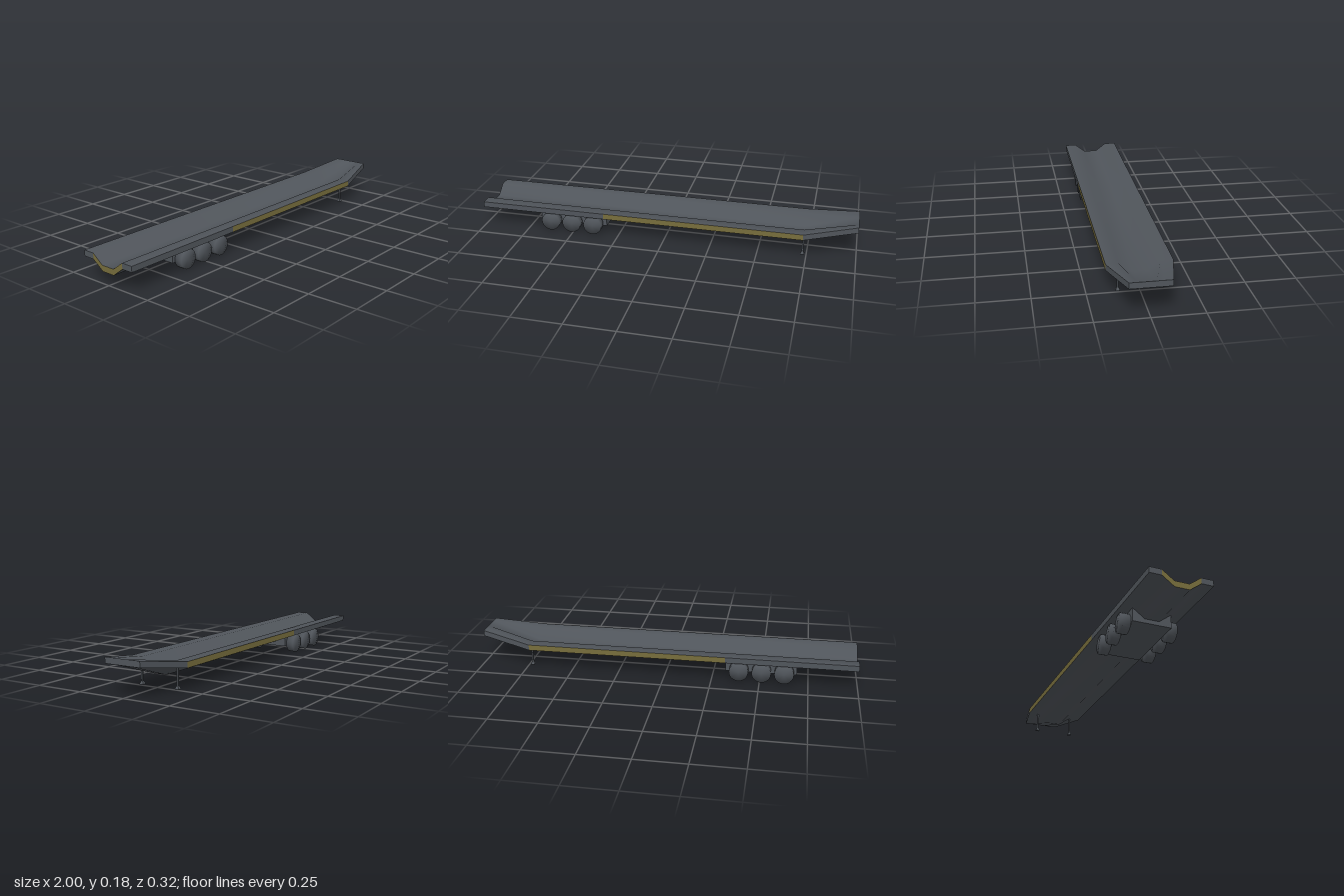
import * as THREE from 'three';
import { mergeVertices } from 'three/addons/utils/BufferGeometryUtils.js';

const steel = new THREE.MeshStandardMaterial({ color: 0x50555b });
steel.name = 'grey steel';
const olive = new THREE.MeshStandardMaterial({ color: 0x776d3c });
olive.name = 'olive marking';

// Half cross-section of the deck underside, mirrored to run from +z to -z
const half = [[0.158, 0.105], [0.097, 0.105], [0.037, 0.06]];
const section = [...half, ...half.slice().reverse().map(([z, y]) => [-z, y])];
const THICK = 0.03;

// Underside points at a station; the nose tip is flat and narrower
function station(x, tip = false) {
  return section.map(([z, y]) => new THREE.Vector3(x, tip ? 0.147 : y, tip ? z * 0.614 : z));
}
const raise = (p) => new THREE.Vector3(p.x, p.y + THICK, p.z);

// Surface through rows of points; faces along (row direction x point direction)
function grid(rows) {
  const n = rows[0].length;
  const index = [];
  for (let i = 0; i < rows.length - 1; i++) {
    for (let j = 0; j < n - 1; j++) {
      const a = i * n + j, b = a + n, c = a + 1, d = b + 1;
      index.push(a, b, c, b, d, c);
    }
  }
  const geo = new THREE.BufferGeometry().setFromPoints(rows.flat());
  geo.setIndex(index);
  geo.computeVertexNormals();
  return geo;
}

// Cylinder with normals shared between tread and face
function roundedWheel() {
  const geo = new THREE.CylinderGeometry(0.05, 0.05, 0.041, 24);
  geo.deleteAttribute('normal');
  geo.deleteAttribute('uv');
  const merged = mergeVertices(geo);
  merged.computeVertexNormals();
  return merged.rotateX(Math.PI / 2);
}

export function createModel() {
  const model = new THREE.Group();
  model.name = 'trailer';
  const add = (name, geo, mat, x = 0, y = 0, z = 0, parent = model) => {
    const mesh = new THREE.Mesh(geo, mat);
    mesh.name = name;
    mesh.position.set(x, y, z);
    parent.add(mesh);
    return mesh;
  };

  // Trough-shaped deck with a rising nose
  const lower = [station(-1), station(-0.32), station(0.73), station(1, true)];
  const upper = lower.map((row) => row.map(raise));
  add('deckTop', grid(upper), steel);
  add('deckUnderside', grid(lower.map((row) => row.slice().reverse())), steel);

  // Rim sides, olive along the middle span
  for (const [side, edge] of [['left', 0], ['right', 5]]) {
    for (let i = 0; i < 3; i++) {
      const rows = [i, i + 1].map((k) => {
        const pair = [lower[k][edge], upper[k][edge]];
        return edge === 0 ? pair : pair.reverse();
      });
      add(side + ['RearRim', 'MarkedRim', 'NoseRim'][i], grid(rows), i === 1 ? olive : steel);
    }
  }

  // End faces
  add('noseFace', grid(lower[3].map((p) => [p, raise(p)])), steel);
  const tail = lower[0].map((p) => [raise(p), p]);
  add('tailTrough', grid(tail.slice(1, 5)), olive);
  add('tailRimLeft', grid(tail.slice(0, 2)), steel);
  add('tailRimRight', grid(tail.slice(4, 6)), steel);

  // Axle housing, notched around the trough
  const housing = new THREE.Shape([
    [-0.1, 0.038], [0.1, 0.038], [0.1, 0.108], [0.094, 0.108],
    [0.036, 0.064], [-0.036, 0.064], [-0.094, 0.108], [-0.1, 0.108],
  ].map(([x, y]) => new THREE.Vector2(x, y)));
  const housingGeo = new THREE.ExtrudeGeometry(housing, { depth: 0.37, bevelEnabled: false });
  housingGeo.rotateY(Math.PI / 2);
  add('axleHousing', housingGeo, steel, -0.69);

  // Three pairs of wheels
  const wheelGeo = roundedWheel();
  for (const x of [-0.625, -0.508, -0.39]) {
    for (const s of [1, -1]) add('wheel', wheelGeo, steel, x, 0.05, s * 0.12);
  }

  // Landing legs with flared feet
  for (const s of [1, -1]) {
    const leg = new THREE.Group();
    leg.name = 'landingLeg';
    leg.position.set(0.73, 0, s * 0.102);
    model.add(leg);
    add('post', new THREE.BoxGeometry(0.008, 0.1, 0.008), steel, 0, 0.06, 0, leg);
    const foot = new THREE.CylinderGeometry(0.006, 0.014, 0.01, 4).toNonIndexed();
    foot.rotateY(Math.PI / 4);
    foot.computeVertexNormals();
    add('foot', foot, steel, 0, 0.01, 0, leg);
    add('footPlate', new THREE.BoxGeometry(0.02, 0.005, 0.02), steel, 0, 0.0025, 0, leg);
  }
  return model;
}
